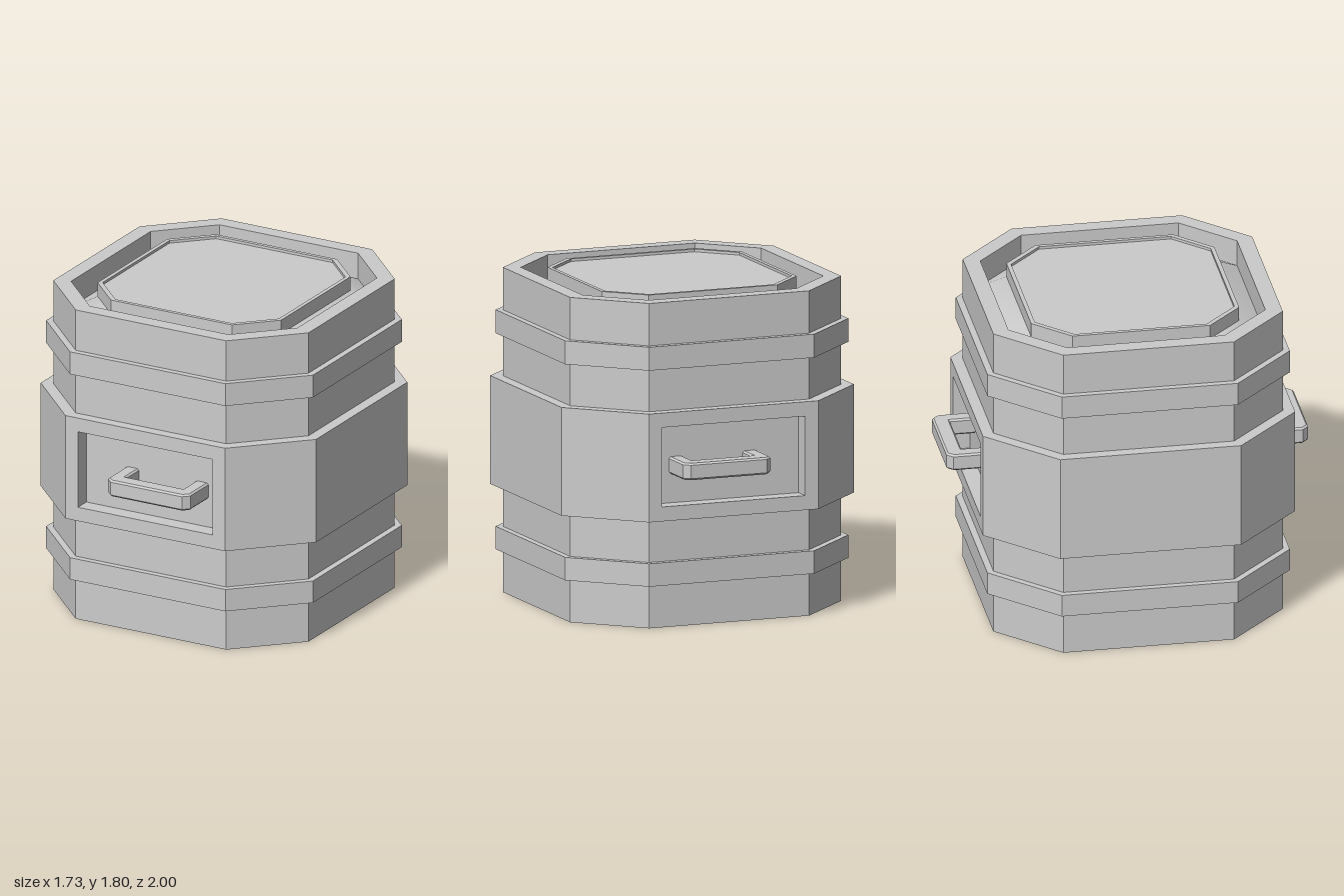
import * as THREE from 'three';
import { mergeVertices } from 'three/addons/utils/BufferGeometryUtils.js';

const material = new THREE.MeshStandardMaterial({ color: 0xcccccc, flatShading: true });
const smoothMaterial = new THREE.MeshStandardMaterial({ color: 0xcccccc });

// Skin through a series of closed loops, with optional end caps, skipped sides and smooth normals
function skin(name, loops, { capStart = false, capEnd = false, smooth = false, skip = () => false } = {}) {
  const pos = [];
  const tri = (a, b, c) => pos.push(...a, ...b, ...c);
  const n = loops[0].length;
  for (let i = 0; i < loops.length - 1; i++) {
    for (let j = 0; j < n; j++) {
      if (skip(i, j)) continue;
      const k = (j + 1) % n;
      const [a, b, c, d] = [loops[i][j], loops[i][k], loops[i + 1][k], loops[i + 1][j]];
      tri(a, b, c);
      tri(a, c, d);
    }
  }
  const first = loops[0], last = loops[loops.length - 1];
  for (let j = 1; j < n - 1; j++) {
    if (capStart) tri(first[0], first[j + 1], first[j]);
    if (capEnd) tri(last[0], last[j], last[j + 1]);
  }
  let geometry = new THREE.BufferGeometry();
  geometry.setAttribute('position', new THREE.Float32BufferAttribute(pos, 3));
  if (smooth) geometry = mergeVertices(geometry);
  geometry.computeVertexNormals();
  const mesh = new THREE.Mesh(geometry, smooth ? smoothMaterial : material);
  mesh.name = name;
  return mesh;
}

// Square of half width w with chamfered corners starting at c, at height y
const octagon = ([w, c, y]) => [
  [w, y, c], [w, y, -c], [c, y, -w], [-c, y, -w],
  [-w, y, -c], [-w, y, c], [-c, y, w], [c, y, w],
];

// Upright rectangle facing +z
const rectangle = (w, y0, y1, z) => [[-w, y0, z], [w, y0, z], [w, y1, z], [-w, y1, z]];

// Raised ring around the body between two heights
const ring = (name, w, c, y0, y1, options) =>
  skin(name, [[0.8, 0.472, y0], [w, c, y0], [w, c, y1], [0.8, 0.472, y1]].map(octagon), options);

// U-shaped grip with chamfered corners, open towards the body
function createHandle() {
  const b = 0.01; // edge bevel
  const w = 0.258 - b, z = 1 - b, inner = 0.178 + b, zi = 0.908 + b, root = 0.76, ch = 0.028;
  const shape = new THREE.Shape([
    [-w, root], [-inner, root], [-inner, zi], [inner, zi], [inner, root], [w, root],
    [w, z - ch], [w - ch, z], [-w + ch, z], [-w, z - ch],
  ].map(([x, y]) => new THREE.Vector2(x, y)));
  const geometry = new THREE.ExtrudeGeometry(shape, {
    depth: 0.094 - 2 * b, bevelThickness: b, bevelSize: b, bevelSegments: 1,
  });
  geometry.rotateX(Math.PI / 2);
  geometry.translate(0, 0.936 - b, 0);
  const mesh = new THREE.Mesh(geometry, material);
  mesh.name = 'handle';
  return mesh;
}

export function createModel() {
  const model = new THREE.Group();
  model.name = 'barrel';

  // Lower body with hollow underside
  model.add(skin('lowerBody', [
    [0.71, 0.435, 0.3], [0.71, 0.435, 0], [0.8, 0.472, 0], [0.8, 0.472, 0.6],
  ].map(octagon), { capStart: true }));

  // Upper body with rim
  model.add(skin('upperBody', [
    [0.8, 0.472, 1.2], [0.8, 0.472, 1.8], [0.71, 0.435, 1.8], [0.71, 0.435, 1.65],
  ].map(octagon)));

  // Sloping gutter between rim and lid
  model.add(skin('gutter', [[0.71, 0.435, 1.65], [0.575, 0.38, 1.72]].map(octagon), { smooth: true }));

  // Lid with a thin raised lip
  model.add(skin('lid', [
    [0.575, 0.38, 1.72], [0.575, 0.38, 1.8], [0.552, 0.365, 1.8], [0.552, 0.365, 1.785],
  ].map(octagon), { capEnd: true }));

  // Hoops and the wide belt, whose front and back sides are left to the handle panels
  model.add(ring('lowerHoop', 0.836, 0.487, 0.238, 0.365));
  model.add(ring('upperHoop', 0.836, 0.487, 1.435, 1.565));
  model.add(ring('belt', 0.863, 0.5, 0.6, 1.2, { skip: (i, j) => i === 1 && (j === 2 || j === 6) }));

  // Recessed panel and handle on front and back; both handles sit off centre towards +x
  for (const [name, turn, side] of [['front', 0, 1], ['back', Math.PI, -1]]) {
    const group = new THREE.Group();
    group.name = name + 'HandlePanel';
    group.rotation.y = turn;
    group.add(skin('recess', [
      rectangle(0.5, 0.6, 1.2, 0.863),
      rectangle(0.422, 0.68, 1.12, 0.863),
      rectangle(0.422, 0.68, 1.12, 0.77),
    ], { capEnd: true }));
    const handle = createHandle();
    handle.position.x = 0.085 * side;
    group.add(handle);
    model.add(group);
  }
  return model;
}
